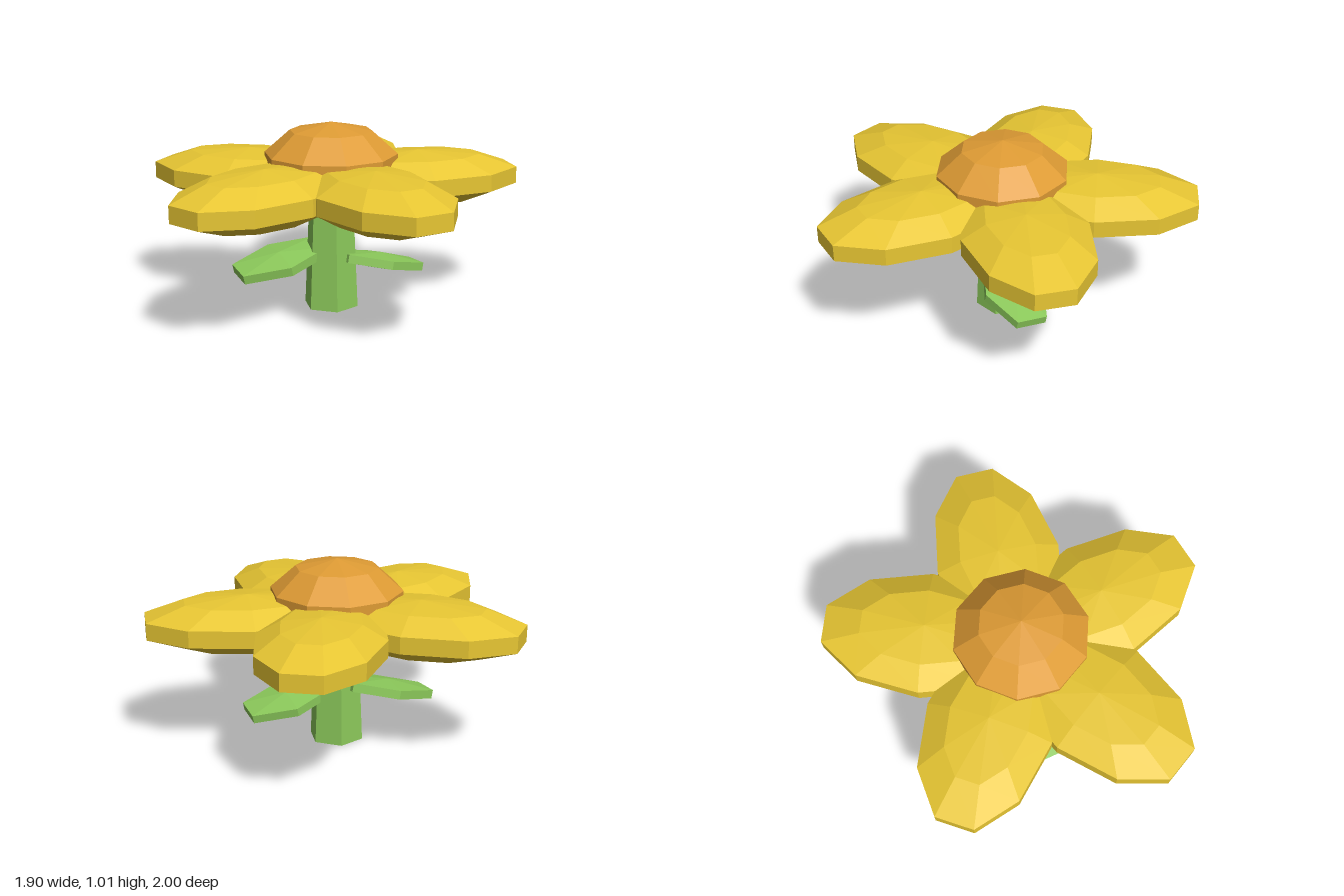
import * as THREE from 'three';

const DEG = Math.PI / 180;
const CENTRE_X = -0.055; // axis of the stem and flower head

function makeMaterial(name, color) {
  const m = new THREE.MeshStandardMaterial({ color, flatShading: true });
  m.name = name;
  return m;
}

// Faceted ellipsoid, turned so that flat sides face along +x and -x
function facetedBlob(sides, rings, rx, ry, rz) {
  const g = new THREE.SphereGeometry(1, sides, rings);
  g.rotateY(Math.PI / sides);
  g.scale(rx, ry, rz);
  return g;
}

export function createModel() {
  const group = new THREE.Group();
  group.name = 'flower';

  const yellow = makeMaterial('petal yellow', 0xecca34);
  const orange = makeMaterial('centre orange', 0xde9b34);
  const green = makeMaterial('stem green', 0x8bc85a);

  function add(name, geometry, material, x, y, z) {
    const mesh = new THREE.Mesh(geometry, material);
    mesh.name = name;
    mesh.position.set(x, y, z);
    group.add(mesh);
    return mesh;
  }

  // Tapered six-sided stem, running up into the flower head
  add('stem', new THREE.CylinderGeometry(0.123, 0.15, 0.6, 6), green, CENTRE_X, 0.3, 0);

  // Domed flower head
  add('flowerCentre', facetedBlob(10, 5, 0.373, 0.24, 0.373), orange, CENTRE_X, 0.77, 0);

  // Five petals, unevenly spread: centre x, centre z, heading in degrees
  const petalGeometry = facetedBlob(10, 5, 0.589, 0.145, 0.347);
  const petals = [
    [0.42, 0, 0],
    [0.112, -0.467, 70],
    [-0.445, -0.267, 147.1],
    [-0.46, 0.296, 215.9],
    [0.068, 0.459, 286.1],
  ];
  petals.forEach(([x, z, heading], i) => {
    add('petal' + (i + 1), petalGeometry, yellow, x, 0.695, z).rotation.y = heading * DEG;
  });

  // Two drooping leaves on opposite sides of the stem
  const leafGeometry = facetedBlob(6, 3, 0.303, 0.045, 0.195);
  const leaves = [
    ['leftLeaf', 0.215, 0.232, 0.005, 10, 1],
    ['rightLeaf', -0.335, 0.268, -0.005, 190, 1.06],
  ];
  for (const [name, x, y, z, heading, size] of leaves) {
    const leaf = add(name, leafGeometry, green, x, y, z);
    leaf.rotation.set(-5 * DEG, heading * DEG, -12.5 * DEG, 'YZX');
    leaf.scale.setScalar(size);
  }

  return group;
}
